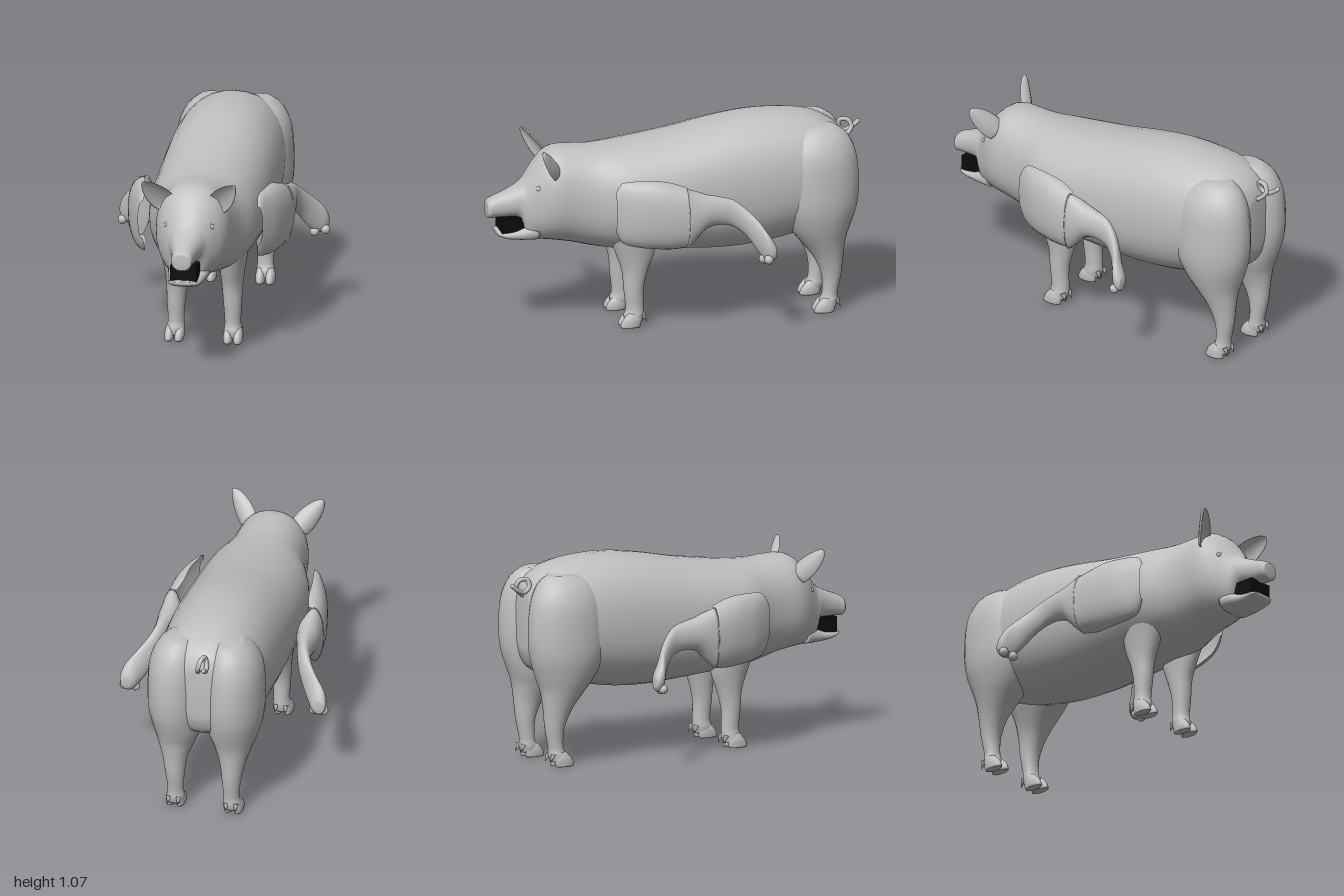
import * as THREE from 'three';

const skin = new THREE.MeshStandardMaterial({ color: 0xbfbfbf });
skin.name = 'skin grey';
const openSkin = new THREE.MeshStandardMaterial({ color: 0xbfbfbf, side: THREE.DoubleSide });
openSkin.name = 'open skin grey';
const dark = new THREE.MeshStandardMaterial({ color: 0x0c0c0c });
dark.name = 'mouth black';

// Skin a list of rings; closed rings get end caps and outward faces
function skinRings(rings, closed = true) {
  const n = rings[0].length, pos = [], idx = [];
  rings.forEach((r) => r.forEach((v) => pos.push(v.x, v.y, v.z)));
  for (let i = 0; i < rings.length - 1; i++) {
    for (let j = 0; j < (closed ? n : n - 1); j++) {
      const a = i * n + j, b = i * n + ((j + 1) % n);
      idx.push(a, b, a + n, b, b + n, a + n);
    }
  }
  if (closed) {
    [0, rings.length - 1].forEach((k) => {
      const c = rings[k].reduce((s, v) => s.add(v), new THREE.Vector3()).divideScalar(n);
      const m = pos.length / 3;
      pos.push(c.x, c.y, c.z);
      for (let j = 0; j < n; j++) {
        const a = k * n + j, b = k * n + ((j + 1) % n);
        if (k === 0) idx.push(m, b, a); else idx.push(m, a, b);
      }
    });
  }
  // Turn the faces outward if the enclosed volume is negative
  const P = (i) => new THREE.Vector3(pos[i * 3], pos[i * 3 + 1], pos[i * 3 + 2]);
  let vol = 0;
  for (let t = 0; t < idx.length; t += 3) vol += P(idx[t]).dot(P(idx[t + 1]).cross(P(idx[t + 2])));
  if (vol < 0) idx.reverse();
  const g = new THREE.BufferGeometry();
  g.setAttribute('position', new THREE.Float32BufferAttribute(pos, 3));
  g.setIndex(idx);
  g.computeVertexNormals();
  return g;
}

// Smoothly add in-between rows
function refine(rows, k = 3) {
  const out = [], at = (i) => rows[Math.max(0, Math.min(rows.length - 1, i))];
  for (let i = 0; i < rows.length - 1; i++) {
    for (let s = 0; s < k; s++) {
      const t = s / k;
      out.push(rows[i].map((p1, c) => {
        const p0 = at(i - 1)[c], p2 = at(i + 1)[c], p3 = at(i + 2)[c];
        return p1 + 0.5 * t * (p2 - p0 + t * (2 * p0 - 5 * p1 + 4 * p2 - p3 + t * (3 * (p1 - p2) + p3 - p0)));
      }));
    }
  }
  out.push(rows[rows.length - 1]);
  return out;
}

// Rows along 'z' are [z, x0, x1, y0, y1]; along 'y' they are [y, x0, x1, z0, z1]
function loft(axis, rows, { side = 1, n = 24, power = 2, open = false } = {}) {
  const curve = (v) => Math.sign(v) * Math.abs(v) ** (2 / power);
  const rings = refine(rows).map(([h, x0, x1, b0, b1]) => {
    const ring = [];
    for (let j = 0; j < (open ? n + 1 : n); j++) {
      const t = open ? (j / n - 0.5) * Math.PI : (j / n) * Math.PI * 2;
      const x = side * ((x0 + x1) / 2 + ((x1 - x0) / 2) * curve(Math.cos(t)));
      const b = (b0 + b1) / 2 + ((b1 - b0) / 2) * curve(Math.sin(t));
      ring.push(axis === 'z' ? new THREE.Vector3(x, b, h) : new THREE.Vector3(x, h, b));
    }
    return ring;
  });
  return skinRings(rings, !open);
}

// Cupped leaf ear
function earGeometry(side) {
  const base = new THREE.Vector3(0.135, 0.86, 0.655), tip = new THREE.Vector3(0.238, 0.992, 0.755);
  const wide = new THREE.Vector3(0.76, -0.62, 0.12).normalize();
  const out = tip.clone().sub(base).cross(wide).normalize();
  if (out.z < 0) out.negate();
  const rings = refine([[0, 0.055], [0.25, 0.06], [0.55, 0.053], [0.85, 0.033], [1, 0.01]]).map(([t, w]) => {
    const ring = [];
    for (let j = 0; j < 16; j++) {
      const a = (j / 16) * Math.PI * 2, c = Math.cos(a);
      const v = base.clone().lerp(tip, t).addScaledVector(wide, w * c)
        .addScaledVector(out, 0.008 * Math.sin(a) + w * 0.45 * (c * c - 0.5));
      v.x *= side;
      ring.push(v);
    }
    return ring;
  });
  return skinRings(rings);
}

export function createModel() {
  const model = new THREE.Group();
  const add = (name, geometry, material = skin) => {
    const mesh = new THREE.Mesh(geometry, material);
    mesh.name = name;
    model.add(mesh);
    return mesh;
  };

  // Trunk, head and upper snout: [z, bottom, top, half width]
  const trunk = [
    [-0.9, 0.6, 0.88, 0.08], [-0.86, 0.5, 0.965, 0.19], [-0.75, 0.44, 1.03, 0.26], [-0.6, 0.4, 1.06, 0.285],
    [-0.4, 0.365, 1.065, 0.295], [-0.2, 0.357, 1.04, 0.298], [0, 0.37, 1.0, 0.297], [0.2, 0.385, 0.97, 0.29],
    [0.33, 0.395, 0.955, 0.275], [0.45, 0.415, 0.95, 0.225], [0.55, 0.44, 0.957, 0.2], [0.64, 0.457, 0.957, 0.19],
    [0.7, 0.465, 0.925, 0.17], [0.75, 0.472, 0.87, 0.14], [0.8, 0.485, 0.8, 0.107], [0.83, 0.58, 0.77, 0.09],
    [0.86, 0.597, 0.752, 0.078], [0.91, 0.597, 0.73, 0.064], [0.96, 0.597, 0.71, 0.055],
    [0.985, 0.595, 0.698, 0.054], [1, 0.605, 0.685, 0.042],
  ];
  add('bodyAndHead', loft('z', trunk.map(([z, b, t, w]) => [z, -w, w, b, t]), { n: 32, power: 2.25 }));

  // Open mouth and lower jaw
  const mouth = add('mouth', new THREE.BoxGeometry(0.138, 0.085, 0.13), dark);
  mouth.position.set(0, 0.561, 0.867);
  add('lowerJaw', loft('z', [
    [0.74, -0.11, 0.11, 0.472, 0.58], [0.8, -0.1, 0.1, 0.473, 0.56], [0.85, -0.088, 0.088, 0.477, 0.54],
    [0.9, -0.082, 0.082, 0.485, 0.532], [0.935, -0.074, 0.074, 0.5, 0.53], [0.95, -0.055, 0.055, 0.511, 0.526],
  ], { power: 2.5 }));

  for (const side of [1, -1]) {
    const word = side > 0 ? 'left' : 'right';

    // Ears and eyes
    add(word + 'Ear', earGeometry(side));
    const eye = add(word + 'Eye', new THREE.SphereGeometry(0.014, 16, 12));
    eye.position.set(side * 0.118, 0.768, 0.748);
    const lid = add(word + 'Eyelid', new THREE.TorusGeometry(0.016, 0.005, 8, 20));
    lid.position.copy(eye.position);
    lid.rotation.y = side * 0.85;

    // Front leg
    add(word + 'FrontLeg', loft('y', [
      [0.55, 0.07, 0.24, 0.13, 0.4], [0.4, 0.08, 0.213, 0.14, 0.35], [0.3, 0.09, 0.2, 0.175, 0.315],
      [0.2, 0.1, 0.195, 0.2, 0.305], [0.1, 0.106, 0.19, 0.2, 0.295], [0.06, 0.102, 0.198, 0.2, 0.305],
      [0.025, 0.108, 0.198, 0.21, 0.3],
    ], { side }));

    // Haunch flowing into the hind leg
    add(word + 'HindLeg', loft('y', [
      [1.0, 0.07, 0.19, -0.82, -0.66], [0.95, 0.03, 0.25, -0.885, -0.58], [0.85, 0.006, 0.295, -0.928, -0.525],
      [0.7, 0, 0.306, -0.942, -0.505], [0.57, 0.002, 0.302, -0.93, -0.52], [0.46, 0.02, 0.275, -0.895, -0.575],
      [0.39, 0.05, 0.25, -0.872, -0.63], [0.3, 0.085, 0.22, -0.86, -0.7], [0.2, 0.1, 0.2, -0.85, -0.745],
      [0.1, 0.106, 0.19, -0.83, -0.75], [0.06, 0.102, 0.198, -0.83, -0.735], [0.025, 0.108, 0.198, -0.82, -0.735],
    ], { side }));

    // Cloven toes and dewclaws
    for (const [leg, dz] of [['Front', 0], ['Hind', -1.03]]) {
      for (const x of [0.102, 0.154]) {
        add(word + leg + 'Toe', loft('y', [
          [0.075, x + 0.01, x + 0.04, 0.24 + dz, 0.285 + dz], [0.045, x, x + 0.05, 0.22 + dz, 0.315 + dz],
          [0.015, x, x + 0.051, 0.22 + dz, 0.33 + dz], [0, x + 0.003, x + 0.049, 0.225 + dz, 0.328 + dz],
        ], { side, n: 12 }));
        const claw = add(word + leg + 'Dewclaw', new THREE.ConeGeometry(0.014, 0.05, 8));
        claw.position.set(side * (x + 0.025), 0.045, 0.2 + dz);
        claw.rotation.x = Math.PI + 0.4;
      }
    }

    // Loose shoulder shell, open toward the body
    const shell = [
      [0.385, 0.3, 0.325, 0.57, 0.77], [0.35, 0.295, 0.345, 0.5, 0.82], [0.27, 0.31, 0.385, 0.475, 0.83],
      [0.18, 0.325, 0.41, 0.465, 0.83], [0.1, 0.33, 0.425, 0.46, 0.815], [0.02, 0.35, 0.43, 0.47, 0.79],
    ];
    add(word + 'ShoulderShell', loft('z', shell.map(([z, edge, o, b, t]) => [z, 2 * edge - o, o, b, t]),
      { side, open: true, n: 16, power: 2.3 }), openSkin);

    // Raised limb behind the shell
    add(word + 'RaisedLimb', loft('z', [
      [0.025, 0.325, 0.43, 0.47, 0.79], [-0.03, 0.305, 0.43, 0.52, 0.77], [-0.08, 0.31, 0.428, 0.57, 0.75],
      [-0.15, 0.33, 0.42, 0.585, 0.735], [-0.22, 0.35, 0.42, 0.57, 0.715], [-0.28, 0.375, 0.45, 0.525, 0.67],
      [-0.33, 0.415, 0.495, 0.45, 0.62], [-0.365, 0.445, 0.54, 0.41, 0.57], [-0.395, 0.465, 0.548, 0.41, 0.525],
      [-0.412, 0.49, 0.54, 0.43, 0.49],
    ], { side }));
    for (const [x, y, z] of [[0.53, 0.425, -0.37], [0.475, 0.415, -0.355]]) {
      const toe = add(word + 'RaisedToe', new THREE.SphereGeometry(0.025, 12, 8));
      toe.position.set(side * x, y, z);
    }
  }

  // Curly tail
  const curl = [[0, 0.87, -0.87], [0, 0.89, -0.91], [-0.01, 0.93, -0.945], [-0.02, 0.965, -0.93], [-0.03, 0.967, -0.89],
    [-0.04, 0.93, -0.885], [-0.045, 0.905, -0.92], [-0.05, 0.925, -0.965], [-0.05, 0.945, -0.99]];
  const path = new THREE.CatmullRomCurve3(curl.map((p) => new THREE.Vector3(...p)));
  add('tail', new THREE.TubeGeometry(path, 48, 0.012, 10));
  add('tailTip', new THREE.SphereGeometry(0.012, 10, 8)).position.set(-0.05, 0.945, -0.99);

  return model;
}
